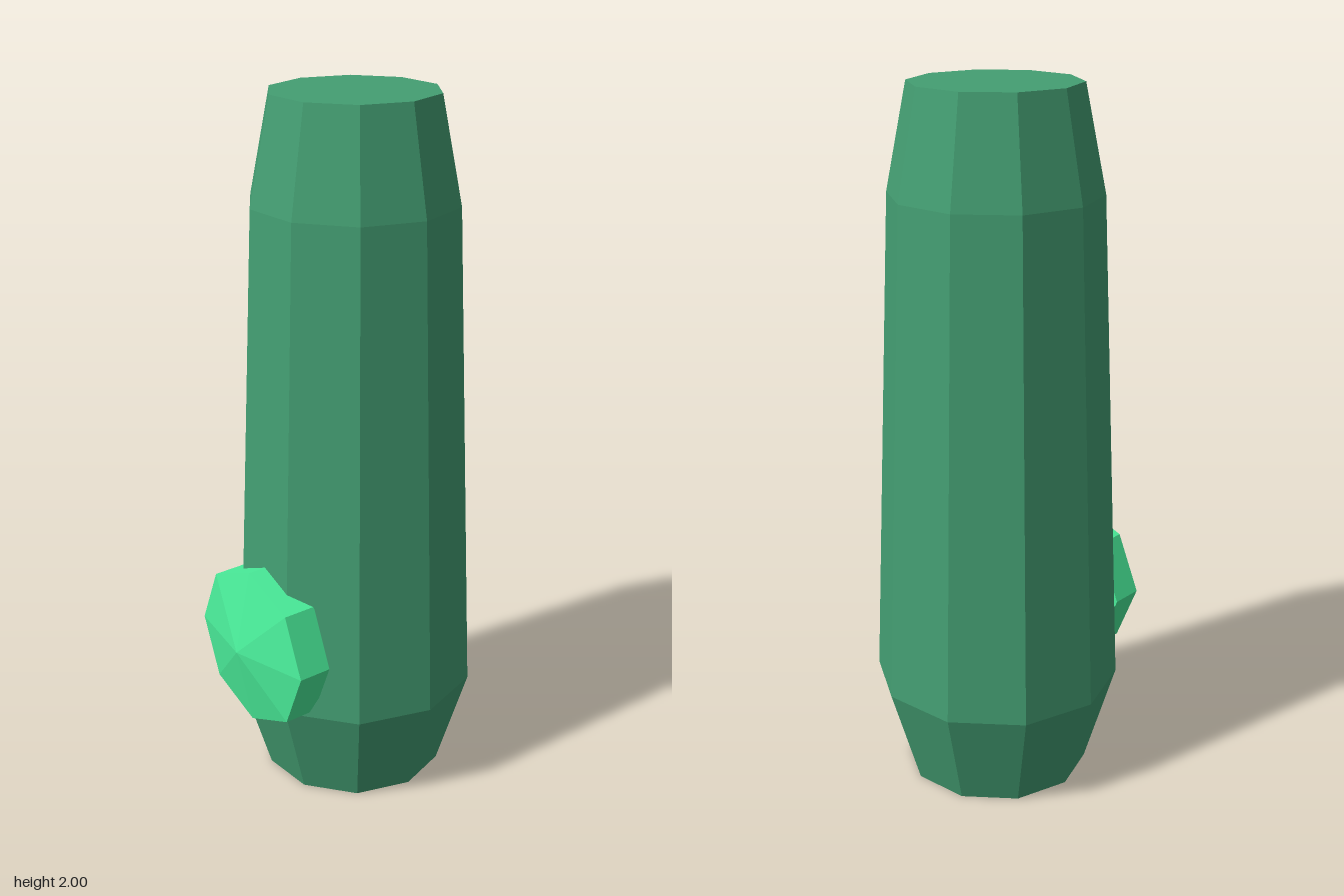
import * as THREE from 'three';

// Faceted solid of revolution from [radius, height] pairs, listed bottom to top
function facetedLathe(name, profile, sides, startAngle, color) {
  const points = profile.map(([r, y]) => new THREE.Vector2(r, y));
  const geometry = new THREE.LatheGeometry(points, sides, startAngle);
  const mesh = new THREE.Mesh(geometry, new THREE.MeshStandardMaterial({ color, flatShading: true }));
  mesh.name = name;
  return mesh;
}

export function createModel() {
  const model = new THREE.Group();
  model.name = 'handle';

  // Ten-sided tapering grip, closed at both ends, with a flat side to the front
  const grip = facetedLathe('grip', [
    [0, 0], [0.263, 0], [0.352, 0.293], [0.293, 1.707], [0.235, 2], [0, 2],
  ], 10, Math.PI / 10, 0x449f73);
  grip.position.z = -0.045;
  model.add(grip);

  // Eight-sided gem with a shallow pointed face, set into the front
  const gem = facetedLathe('gem', [
    [0, 0], [0.235, 0], [0.235, 0.099], [0, 0.149],
  ], 8, 0, 0x4bf09c);
  gem.rotation.x = Math.PI / 2;
  gem.position.set(0, 0.474, 0.229);
  model.add(gem);

  return model;
}
